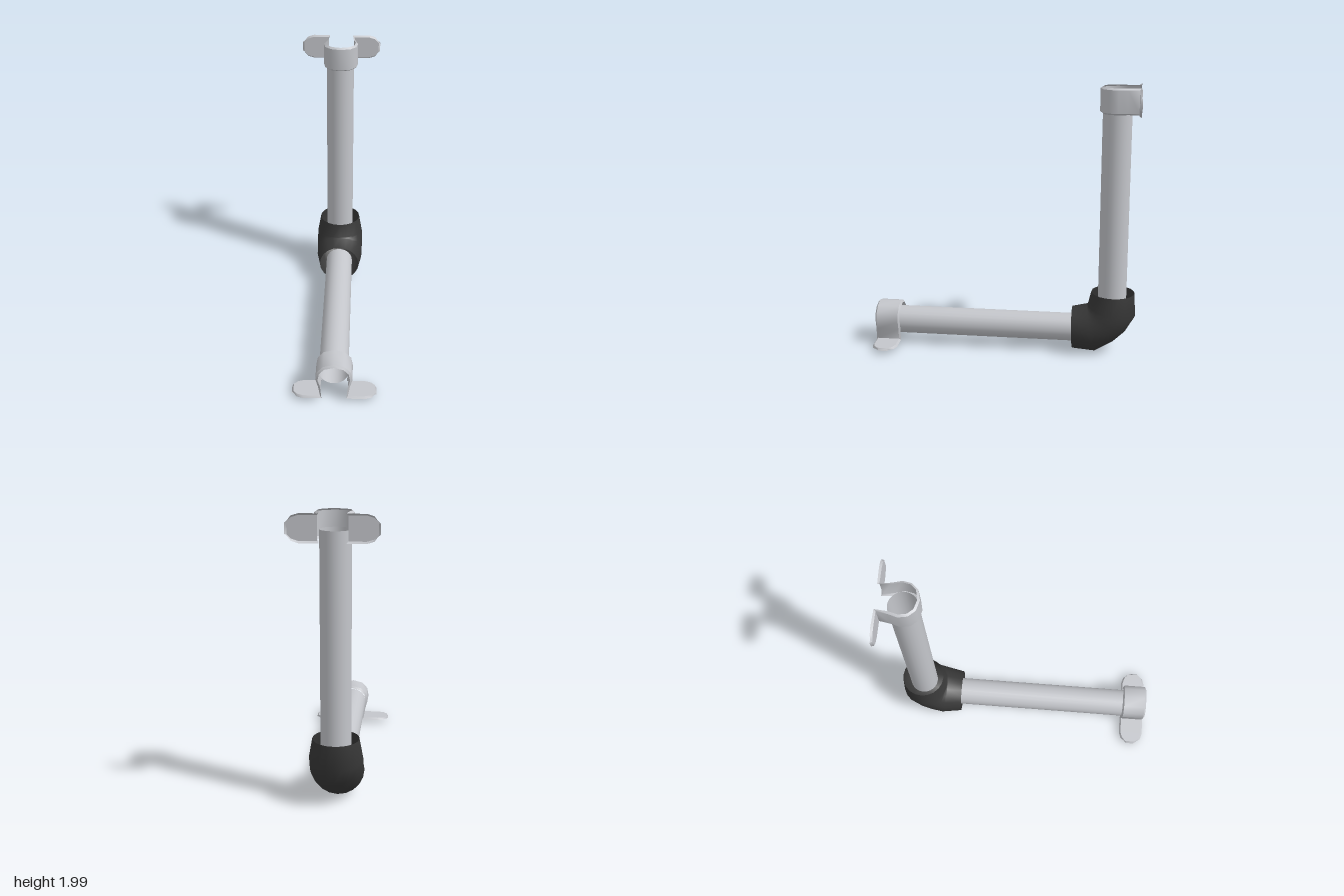
import * as THREE from 'three';
import { toCreasedNormals } from 'three/addons/utils/BufferGeometryUtils.js';

const metal = new THREE.MeshStandardMaterial({ color: 0xc4c6cb, side: THREE.DoubleSide });
metal.name = 'light grey metal';
const rubber = new THREE.MeshStandardMaterial({ color: 0x383838, side: THREE.DoubleSide });
rubber.name = 'dark grey plastic';

const CX = -0.01; // shared x of the pipe axes

// Skin a list of equal-length rows of points
function loft(rows, crease) {
  const pos = [];
  for (let i = 0; i + 1 < rows.length; i++) {
    for (let j = 0; j + 1 < rows[i].length; j++) {
      const a = rows[i][j], b = rows[i][j + 1], c = rows[i + 1][j + 1], d = rows[i + 1][j];
      for (const p of [a, b, c, a, c, d]) pos.push(p.x, p.y, p.z);
    }
  }
  const g = new THREE.BufferGeometry();
  g.setAttribute('position', new THREE.Float32BufferAttribute(pos, 3));
  return toCreasedNormals(g, crease);
}

function mesh(name, geometry, material) {
  const m = new THREE.Mesh(geometry, material);
  m.name = name;
  return m;
}

// Open hollow pipe
function pipe(name, length) {
  return mesh(name, new THREE.CylinderGeometry(0.105, 0.105, length, 24, 1, true), metal);
}

// Saddle clamp: a bent strip with turned-in edges; y runs along the pipe, z away from the wall
function clampGeometry() {
  // [x, distance from wall, half width], from tab tip to crown
  const half = [
    [0.302, 0, 0.035], [0.29, 0.018, 0.05], [0.262, 0.018, 0.079], [0.215, 0.018, 0.094],
    [0.098, 0.018, 0.094], [0.112, 0.1, 0.094], [0.13, 0.165, 0.094],
    [0.118, 0.23, 0.094], [0.075, 0.276, 0.094], [0, 0.295, 0.094],
  ];
  const path = [...half.map(([x, w, h]) => [-x, w, h]), ...half.slice(0, -1).reverse()];
  const last = path.length - 1;
  const rows = path.map(([x, w, h], i) => {
    const p = path[Math.max(i - 1, 0)], q = path[Math.min(i + 1, last)];
    const t = new THREE.Vector2(q[0] - p[0], q[1] - p[1]).normalize();
    const tip = i === 0 || i === last;
    const lip = tip ? 0 : 0.016;
    const at = (y, inset) => new THREE.Vector3(x + t.y * inset, y, w - t.x * inset);
    return [at(h, lip), at(h - 0.012, 0), at(0.012 - h, 0), at(-h, lip)];
  });
  return loft(rows, 0.8);
}

// Elbow: rings spanning from the inner bend to the outer bend
function elbowGeometry() {
  // inner z, y; outer z, y; half width in x
  const rings = [
    [-0.655, 0.468, -0.975, 0.465, 0.16],
    [-0.63, 0.362, -0.985, 0.29, 0.185],
    [-0.629, 0.36, -0.918, 0.175, 0.186],
    [-0.628, 0.359, -0.83, 0.09, 0.186],
    [-0.626, 0.358, -0.69, 0.006, 0.185],
    [-0.513, 0.333, -0.522, 0.018, 0.16],
  ];
  const sides = 20;
  const rows = rings.map(([iz, iy, oz, oy, w]) => {
    const row = [];
    for (let j = 0; j <= sides; j++) {
      const a = (j / sides) * Math.PI * 2, s = Math.sin(a) / 2;
      row.push(new THREE.Vector3(
        CX + w * Math.cos(a),
        (iy + oy) / 2 + (iy - oy) * s,
        (iz + oz) / 2 + (iz - oz) * s));
    }
    return row;
  });
  return loft(rows, 1.0);
}

export function createModel() {
  const model = new THREE.Group();
  model.name = 'wall pipe with elbow';

  // Upright pipe, y 0.40 to 1.88
  const upright = pipe('uprightPipe', 1.48);
  upright.position.set(CX, 1.14, -0.81);

  // Level pipe, z -0.58 to 0.86
  const level = pipe('levelPipe', 1.44);
  level.rotation.x = Math.PI / 2;
  level.position.set(CX, 0.175, 0.14);

  const elbow = mesh('elbowJoint', elbowGeometry(), rubber);

  // Same clamp on the wall and on the floor
  const strip = clampGeometry();
  const wallClamp = mesh('wallClamp', strip, metal);
  wallClamp.position.set(-0.005, 1.906, -0.98);
  const floorClamp = mesh('floorClamp', strip, metal);
  floorClamp.rotation.x = -Math.PI / 2;
  floorClamp.position.set(-0.005, 0.03, 0.886);

  model.add(upright, level, elbow, wallClamp, floorClamp);
  return model;
}
